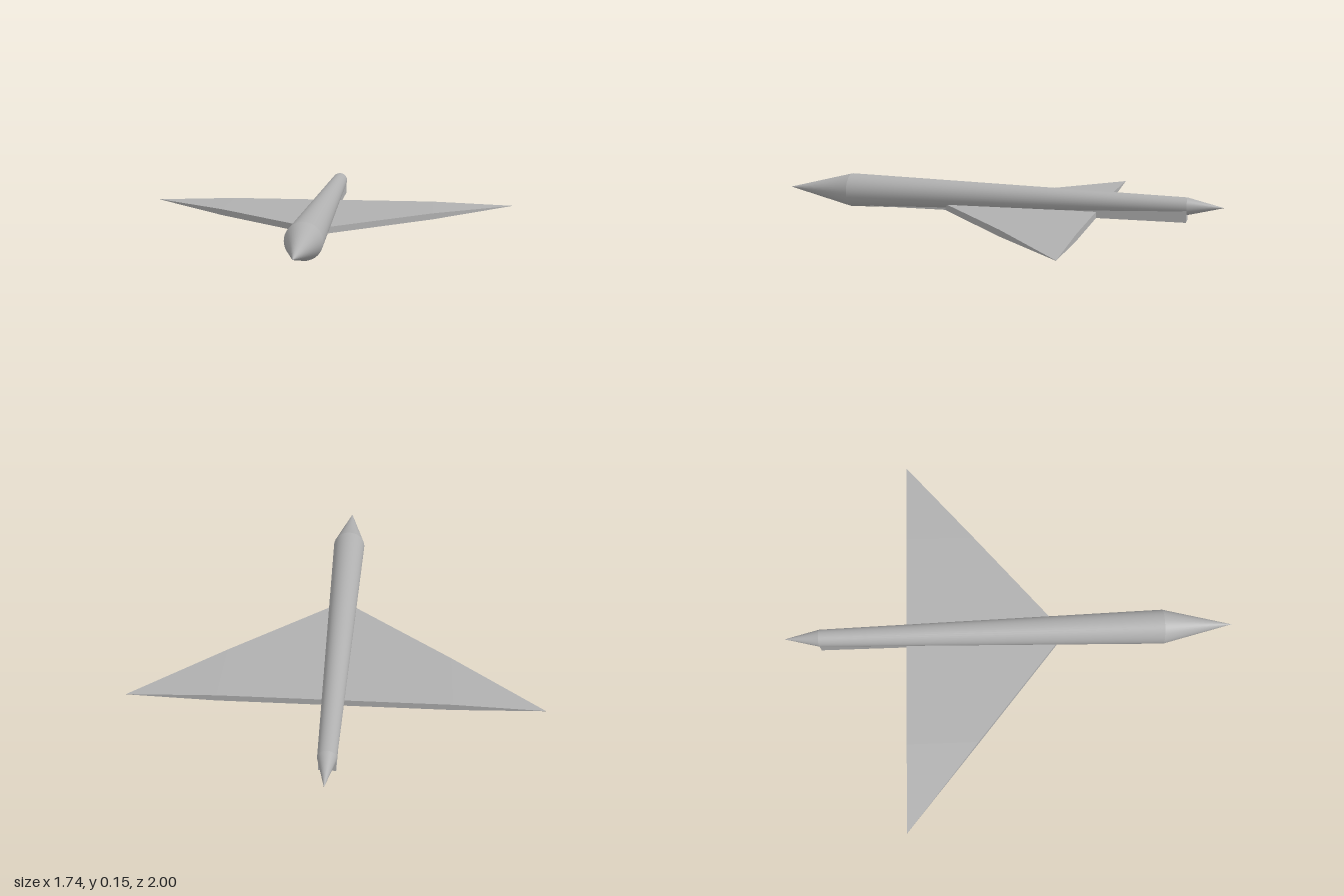
import * as THREE from 'three';

const R = 0.076, R_TAIL = 0.038, Y = 0.077, Z_NOSE = 0.69, Z_TAIL = -0.845;

export function createModel() {
  const group = new THREE.Group();
  const grey = new THREE.MeshStandardMaterial({ color: 0xb0b0b0 });
  grey.name = 'plain grey';

  const add = (name, geometry) => {
    const mesh = new THREE.Mesh(geometry, grey);
    mesh.name = name;
    group.add(mesh);
    return mesh;
  };

  // Round section along z, from the rear to the front
  const section = (name, rFront, rRear, zRear, zFront) => {
    const geometry = new THREE.CylinderGeometry(rFront, rRear, zFront - zRear, 40);
    geometry.rotateX(Math.PI / 2);
    add(name, geometry).position.set(0, Y, (zFront + zRear) / 2);
  };
  section('noseCone', 0, R, Z_NOSE, 1);
  section('fuselage', R, R_TAIL, Z_TAIL, Z_NOSE);
  section('tailCone', R_TAIL, 0, -1, Z_TAIL);

  // Square keel under the tapering fuselage
  const keel = new THREE.BoxGeometry(0.07, Y - 0.012, Z_NOSE - Z_TAIL);
  add('keel', keel).position.set(0, (Y + 0.012) / 2, (Z_NOSE + Z_TAIL) / 2);

  // Delta wing: even thickness inboard, thinning to a point at each tip.
  // Each station is [x, leading edge z, half thickness].
  const stations = [
    [-0.87, -0.459, 0.0005], [-0.49, -0.148, 0.014], [-0.035, 0.225, 0.014],
    [0.035, 0.225, 0.014], [0.49, -0.148, 0.014], [0.87, -0.459, 0.0005],
  ];
  const yWing = 0.025, zBack = -0.46;
  const loops = stations.map(([x, z, h]) => [
    [x, yWing - h, z], [x, yWing + h, z], [x, yWing + h, zBack], [x, yWing - h, zBack],
  ]);
  const points = [];
  const quad = (a, b, c, d) => points.push(...a, ...b, ...c, ...a, ...c, ...d);
  for (let i = 0; i < loops.length - 1; i++) {
    for (let k = 0; k < 4; k++) {
      const n = (k + 1) % 4;
      quad(loops[i][k], loops[i + 1][k], loops[i + 1][n], loops[i][n]);
    }
  }
  const [first, last] = [loops[0], loops[loops.length - 1]];
  quad(first[0], first[1], first[2], first[3]);
  quad(last[3], last[2], last[1], last[0]);
  const wing = new THREE.BufferGeometry();
  wing.setAttribute('position', new THREE.Float32BufferAttribute(points, 3));
  wing.computeVertexNormals();
  add('deltaWing', wing);

  return group;
}
